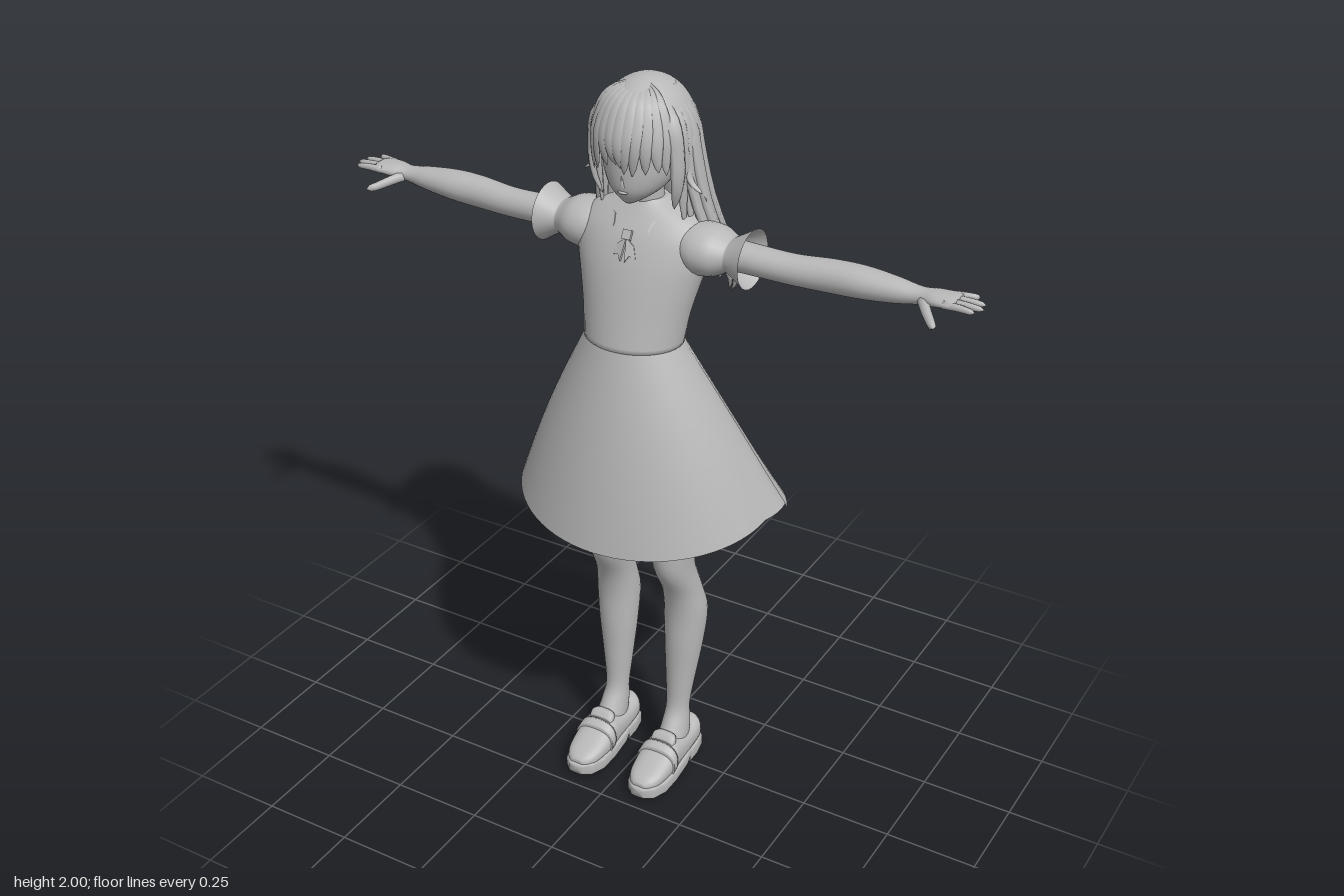
import * as THREE from 'three';

const V = (x, y, z) => new THREE.Vector3(x, y, z);
const grey = new THREE.MeshStandardMaterial({ color: 0xb8b8b8, side: THREE.DoubleSide });
grey.name = 'plain grey';

// Skin a list of rings (equal length) into one smooth surface
function skin(rings, caps = true) {
  const n = rings[0].length, pos = [], idx = [];
  rings.forEach(r => r.forEach(p => pos.push(p.x, p.y, p.z)));
  for (let i = 0; i < rings.length - 1; i++) for (let j = 0; j < n; j++) {
    const a = i * n + j, b = i * n + (j + 1) % n;
    idx.push(a, b, a + n, b, b + n, a + n);
  }
  if (caps) [0, rings.length - 1].forEach((i, end) => {
    const c = rings[i].reduce((s, p) => s.add(p), V(0, 0, 0)).divideScalar(n);
    const k = pos.length / 3;
    pos.push(c.x, c.y, c.z);
    for (let j = 0; j < n; j++) {
      const a = i * n + j, b = i * n + (j + 1) % n;
      end ? idx.push(a, b, k) : idx.push(b, a, k);
    }
  });
  const g = new THREE.BufferGeometry();
  g.setAttribute('position', new THREE.Float32BufferAttribute(pos, 3));
  g.setIndex(idx);
  g.computeVertexNormals();
  return g;
}

// Loft oval sections along an axis; stations are [along, c1, c2, r1, r2]
const place = {
  y: (a, u, v) => V(u, a, v),
  x: (a, u, v) => V(a, v, u),
  z: (a, u, v) => V(v, u, a),
};
function loft(axis, st, { n = 28, steps = 4, power = 2, caps = true } = {}) {
  const rings = [], mix = (i, k, t) => {
    const p = j => st[Math.min(Math.max(j, 0), st.length - 1)][k];
    if (steps === 1) return p(i);
    const m0 = (p(i + 1) - p(i - 1)) / 2, m1 = (p(i + 2) - p(i)) / 2, d = p(i + 1) - p(i);
    return p(i) + m0 * t + (3 * d - 2 * m0 - m1) * t * t + (m0 + m1 - 2 * d) * t ** 3;
  };
  const round = c => Math.sign(c) * Math.abs(c) ** (2 / power);
  for (let s = 0; s <= (st.length - 1) * steps; s++) {
    const i = Math.floor(s / steps), t = s / steps - i;
    const [a, c1, c2, r1, r2] = [0, 1, 2, 3, 4].map(k => mix(i, k, t));
    rings.push(Array.from({ length: n }, (_, j) => {
      const q = j / n * Math.PI * 2;
      return place[axis](a, c1 + r1 * round(Math.sin(q)), c2 + r2 * round(Math.cos(q)));
    }));
  }
  return skin(rings, caps);
}

// Sweep an oval along a curve; up(p) gives the thin direction, size(t) the half sizes
function sweep(points, up, size, n = 8, steps = 14) {
  const curve = new THREE.CatmullRomCurve3(points);
  return skin(Array.from({ length: steps + 1 }, (_, i) => {
    const t = i / steps, p = curve.getPoint(t), T = curve.getTangent(t);
    const S = T.clone().cross(up(p)).normalize(), N = S.clone().cross(T), [w, h] = size(t);
    return Array.from({ length: n }, (_, j) => {
      const q = j / n * Math.PI * 2;
      return p.clone().addScaledVector(S, w * Math.sin(q)).addScaledVector(N, h * Math.cos(q));
    });
  }));
}
const outward = p => V(p.x, 0, p.z + 0.01);
const lock = (points, w, h) => sweep(points, outward, t => {
  const k = Math.min(1, 0.5 + t * 3) * Math.min(1, Math.sqrt((1 - t) * 2.6) + 0.03);
  return [w * k, h * k];
});

export function createModel() {
  const model = new THREE.Group();
  const add = (name, geo) => {
    const m = new THREE.Mesh(geo, grey);
    m.name = name;
    model.add(m);
    return m;
  };
  const pair = (name, geo) => {
    add(name + 'Left', geo);
    const g = geo.clone().scale(-1, 1, 1);
    g.index.array.reverse();
    add(name + 'Right', g);
  };

  // Dress bodice and neck
  add('bodice', loft('y', [
    [1.335, 0, 0.062, 0.13, 0.109], [1.42, 0, 0.047, 0.143, 0.106], [1.5, 0, 0.03, 0.163, 0.104],
    [1.56, 0, 0.015, 0.18, 0.1], [1.615, 0, 0.002, 0.182, 0.088], [1.655, 0, -0.003, 0.14, 0.066],
    [1.685, 0, -0.008, 0.07, 0.05], [1.695, 0, -0.008, 0.05, 0.045]], { n: 36 }));
  add('neck', loft('y', [[1.66, 0, -0.005, 0.044, 0.042], [1.77, 0, 0.005, 0.042, 0.042]]));

  // Flared skirt, squarer behind, with a stepped back hem
  const skirt = [], N = 72;
  for (let i = 0; i <= 8; i++) {
    const t = i / 8;
    skirt.push(Array.from({ length: N }, (_, j) => {
      const q = j / N * Math.PI * 2, s = Math.sin(q), c = Math.cos(q);
      const back = Math.max(0, -c), bulge = 1 + 0.13 * t * t * Math.abs(s) * back * 2;
      const flap = c < -0.35 && Math.abs(s) > 0.3;
      const hem = c > 0 ? 0.872 - 0.06 * c ** 1.3 : flap ? 0.842 : 0.872;
      const k = t + 0.05 * Math.sin(Math.PI * t);
      return V((0.13 + 0.222 * k) * s * bulge, 1.34 + (hem - 1.34) * t,
        0.062 * (1 - t) + (0.109 + 0.167 * k) * c * (c < 0 ? bulge * 0.97 : 1));
    }));
  }
  add('skirt', skin(skirt.reverse(), false));

  // Puffed sleeves with a flared cuff
  pair('sleeve', loft('x', [
    [0.11, 0, 1.595, 0.06, 0.05], [0.15, 0, 1.588, 0.076, 0.064], [0.195, -0.003, 1.587, 0.076, 0.062],
    [0.232, -0.005, 1.586, 0.058, 0.045], [0.245, -0.005, 1.586, 0.058, 0.047],
    [0.29, -0.006, 1.585, 0.078, 0.075]], { caps: false }));

  // Arms and hands
  pair('arm', loft('x', [
    [0.2, 0, 1.59, 0.042, 0.04], [0.3, -0.001, 1.588, 0.041, 0.038], [0.4, -0.005, 1.585, 0.039, 0.038],
    [0.5, -0.013, 1.588, 0.042, 0.041], [0.58, -0.015, 1.59, 0.044, 0.039], [0.66, -0.014, 1.591, 0.035, 0.031],
    [0.72, -0.012, 1.593, 0.026, 0.021], [0.76, -0.01, 1.598, 0.037, 0.018],
    [0.8, -0.009, 1.601, 0.042, 0.014], [0.815, -0.009, 1.601, 0.038, 0.011]], { n: 20 }));
  const taper = r => t => { const k = r * (1 - 0.3 * t) * Math.min(1, Math.sqrt((1 - t) * 6) + 0.05); return [k, k]; };
  const upY = () => V(0, 1, 0);
  [[-0.04, -0.055, 0.848], [-0.02, -0.024, 0.876], [0.001, 0.002, 0.882], [0.021, 0.027, 0.868]].forEach(
    ([z0, z1, x], i) => pair('finger' + (i + 1), sweep(
      [V(0.79, 1.6, z0), V(0.83, 1.602, (z0 + z1) / 2), V(x, 1.6, z1)], upY, taper(0.0105), 8, 8)));
  pair('thumb', sweep([V(0.735, 1.59, 0.008), V(0.76, 1.58, 0.043), V(0.778, 1.572, 0.064), V(0.795, 1.568, 0.086)],
    upY, taper(0.014), 8, 8));

  // Legs
  pair('leg', loft('y', [
    [0.05, 0.1, 0.035, 0.036, 0.062], [0.1, 0.1, 0.022, 0.038, 0.062], [0.14, 0.099, 0.006, 0.035, 0.05],
    [0.19, 0.098, -0.006, 0.032, 0.036], [0.28, 0.1, -0.015, 0.041, 0.042], [0.4, 0.104, -0.025, 0.054, 0.054],
    [0.5, 0.106, -0.03, 0.06, 0.059], [0.58, 0.103, -0.012, 0.054, 0.057], [0.67, 0.098, 0.024, 0.052, 0.066],
    [0.76, 0.098, 0.027, 0.058, 0.07], [0.86, 0.097, 0.027, 0.064, 0.075], [1, 0.09, 0.02, 0.075, 0.085],
    [1.14, 0.07, 0.02, 0.07, 0.08]], { n: 24 }));

  // Shoes: sole with heel, upper, strap
  pair('sole', loft('z', [
    [-0.08, 0.03, 0.1, 0.022, 0.025], [-0.07, 0.029, 0.1, 0.025, 0.042], [-0.03, 0.028, 0.1, 0.025, 0.05],
    [0.005, 0.027, 0.1, 0.025, 0.05], [0.012, 0.039, 0.1, 0.014, 0.05], [0.03, 0.029, 0.1, 0.022, 0.053],
    [0.1, 0.025, 0.1, 0.023, 0.058], [0.16, 0.024, 0.1, 0.023, 0.057], [0.2, 0.026, 0.1, 0.022, 0.043],
    [0.22, 0.028, 0.1, 0.016, 0.022]], { steps: 1, power: 5 }));
  pair('shoeUpper', loft('z', [
    [-0.079, 0.07, 0.1, 0.035, 0.022], [-0.06, 0.073, 0.1, 0.04, 0.042], [-0.01, 0.068, 0.1, 0.038, 0.047],
    [0.05, 0.07, 0.1, 0.046, 0.05], [0.085, 0.07, 0.1, 0.05, 0.053], [0.12, 0.062, 0.1, 0.038, 0.055],
    [0.17, 0.053, 0.1, 0.026, 0.049], [0.2, 0.046, 0.1, 0.02, 0.036], [0.215, 0.042, 0.1, 0.012, 0.018]],
    { power: 2.5 }));
  pair('shoeTongue', loft('z', [[0.06, 0.115, 0.1, 0.018, 0.03], [0.075, 0.115, 0.1, 0.02, 0.036],
    [0.09, 0.105, 0.1, 0.015, 0.034]], { power: 3 }));
  pair('shoeStrap', loft('z', [[0.095, 0.07, 0.1, 0.05, 0.057], [0.12, 0.062, 0.1, 0.044, 0.059]], { power: 2.5 }));

  // Neck bow: two loops, a knot and split tails laid on the chest
  const plate = (name, pts, at, tilt, turn) => {
    const g = new THREE.ExtrudeGeometry(new THREE.Shape(pts.map(p => new THREE.Vector2(...p))),
      { depth: 0.008, bevelEnabled: false });
    g.rotateX(tilt).rotateY(turn).translate(...at);
    add(name, g);
  };
  for (const s of [1, -1]) {
    plate('bowLoop', [[0, -0.012], [s * 0.035, -0.03], [s * 0.03, 0.035], [s * 0.012, 0.03], [0, 0.008]].map(
      ([x, y]) => [x + s * 0.012, y]), [s * 0.035, 1.625, 0.078], -0.5, s * 0.5);
    plate('bowTail', [[0, 0.02], [s * 0.022, 0.0], [s * 0.03, -0.03], [s * 0.013, -0.024], [s * 0.002, -0.04]],
      [0, 1.595, 0.098], -0.4, s * 0.2);
  }
  plate('bowKnot', [[-0.012, -0.012], [0.012, -0.012], [0.012, 0.012], [-0.012, 0.012]], [0, 1.62, 0.09], -0.5, 0);

  // Head, nose, lips and ears
  add('head', loft('y', [
    [1.703, 0, 0.078, 0.012, 0.014], [1.715, 0, 0.062, 0.036, 0.04], [1.74, 0, 0.04, 0.068, 0.074],
    [1.775, 0, 0.023, 0.09, 0.094], [1.82, 0, 0.008, 0.102, 0.108], [1.88, 0, 0, 0.106, 0.118],
    [1.94, 0, 0, 0.09, 0.098], [1.98, 0, 0, 0.04, 0.045]]));
  add('nose', new THREE.ConeGeometry(0.009, 0.03, 8).rotateX(0.35).translate(0, 1.768, 0.115));
  add('lips', new THREE.SphereGeometry(1, 12, 8).scale(0.014, 0.004, 0.006).translate(0, 1.737, 0.112));
  pair('ear', new THREE.SphereGeometry(1, 12, 8).scale(0.012, 0.03, 0.02).translate(0.104, 1.8, 0));

  // Hair cap tipped back to leave the face open
  add('hairCap', new THREE.SphereGeometry(1, 36, 20, 0, Math.PI * 2, 0, Math.PI * 0.56)
    .rotateX(-0.5).scale(0.12, 0.139, 0.133).translate(0, 1.86, -0.002));

  // Long back hair, a fan of overlapping locks
  const count = 19;
  for (let i = 0; i < count; i++) {
    const u = i / (count - 1) * 2 - 1, q = u * 1.7, s = Math.sin(q), c = Math.cos(q);
    const j = Math.sin(i * 7.3) * 0.5, out = (i % 2) * 0.008;
    add('backLock', lock([
      V(0.06 * s, 1.975, -0.012 - 0.05 * c), V(0.113 * s, 1.9, -0.115 * c),
      V((0.123 + out) * s, 1.8, -0.008 - 0.125 * c), V((0.137 + out) * s, 1.69, -0.03 - (0.125 + out) * c),
      V((0.163 + out) * s, 1.56, -0.075 - (0.125 + out) * c),
      V((0.187 + out) * s + j * 0.01, 1.47 + 0.015 * u * u, -0.11 - (0.12 + out) * c),
      V(0.185 * s + j * 0.02, 1.405 + 0.04 * u * u + j * 0.02, -0.115 - 0.105 * c)], 0.024, 0.011));
  }

  // Fringe over the brow
  for (let i = 0; i < 11; i++) {
    const u = i / 5 - 1, q = u * 0.95, s = Math.sin(q), c = Math.cos(q), j = Math.sin(i * 5.1);
    add('fringeLock', lock([
      V(0.02 * s, 1.985, 0.03), V(0.085 * s, 1.955, 0.03 + 0.065 * c), V(0.117 * s, 1.9, 0.008 + 0.12 * c),
      V(0.12 * s + j * 0.004, 1.85, 0.008 + 0.13 * c),
      V(0.113 * s + j * 0.012, 1.8 + j * 0.012 - 0.02 * u * u, 0.005 + 0.125 * c)], 0.018, 0.007));
  }

  // Side locks framing the face, with small flicked tips
  [[0.06, 1.69, 0.1], [0.035, 1.64, 0.115], [0.01, 1.6, 0.125]].forEach(([z, y, x]) => pair('sideLock', lock([
    V(0.04, 1.97, z * 0.4), V(0.105, 1.91, z), V(0.119, 1.83, z), V(0.116, 1.75, z - 0.005), V(x, y, z - 0.02)],
    0.02, 0.009)));
  [[0.02, 1.735, 0.165], [-0.02, 1.7, 0.155]].forEach(([z, y, x]) => pair('flickLock', lock([
    V(0.115, 1.86, z), V(0.122, 1.8, z), V(0.134, 1.76, z), V(x, y, z)], 0.01, 0.006)));

  return model;
}
